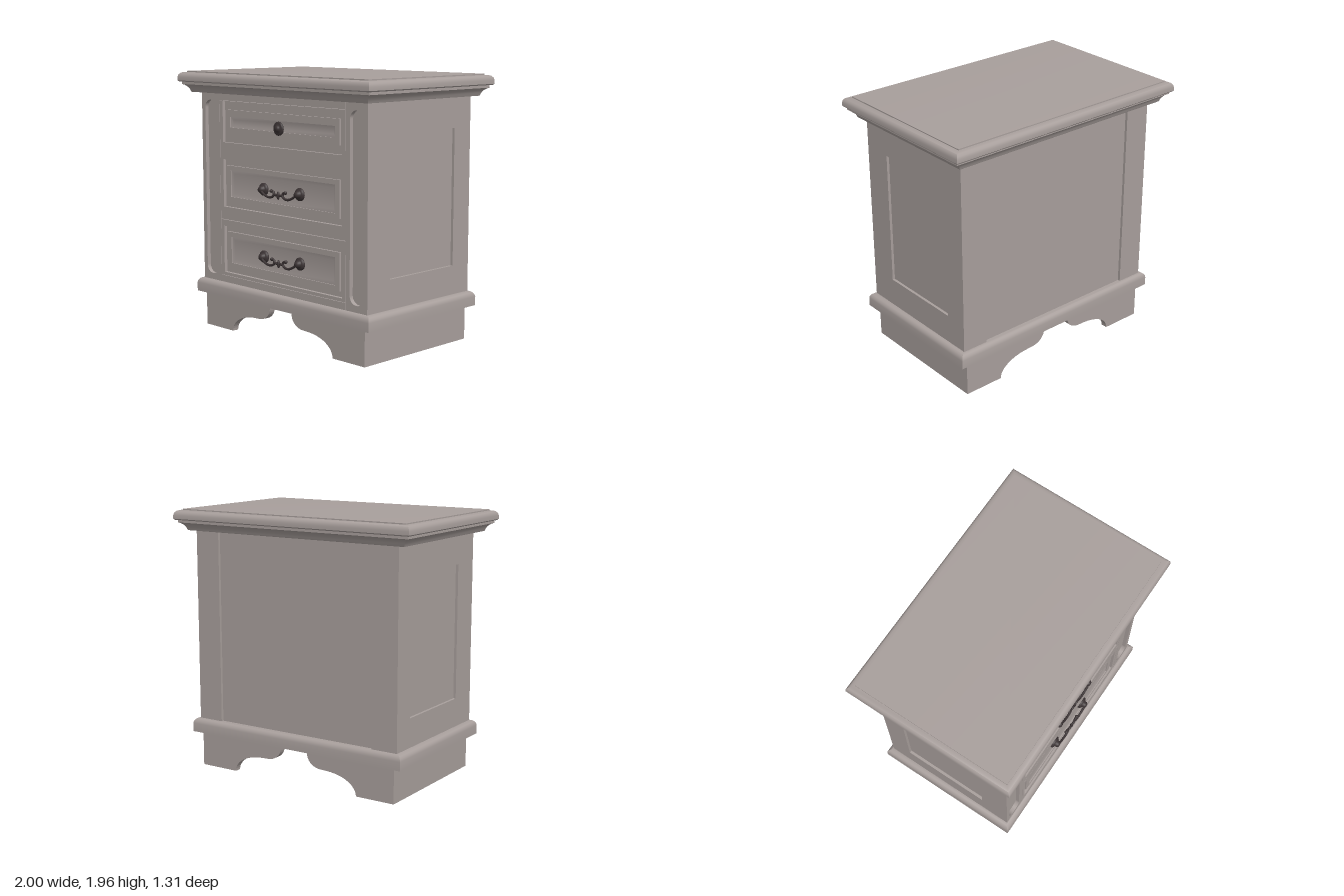
import * as THREE from 'three';
import { toCreasedNormals } from 'three/addons/utils/BufferGeometryUtils.js';

const wood = new THREE.MeshStandardMaterial({ color: 0xa89f9c });
wood.name = 'greyWood';
const iron = new THREE.MeshStandardMaterial({ color: 0x3c3435 });
iron.name = 'darkIron';

const CX = 0.012;            // cabinet centre
const BX = 0.868, BZ = 0.535; // cabinet half width and half depth
const Y0 = 0.365, Y1 = 1.8;   // cabinet bottom and top

function add(parent, name, geometry, material, x = 0, y = 0, z = 0) {
  const mesh = new THREE.Mesh(geometry, material);
  mesh.name = name;
  mesh.position.set(x, y, z);
  parent.add(mesh);
  return mesh;
}

function box(parent, name, x0, x1, y0, y1, z0, z1) {
  const g = new THREE.BoxGeometry(x1 - x0, y1 - y0, z1 - z0);
  return add(parent, name, g, wood, (x0 + x1) / 2, (y0 + y1) / 2, (z0 + z1) / 2);
}

// Mitred rectangular moulding: each profile entry is [half width, half depth, height]
function moulding(profile, bottomCap = true) {
  const pos = [];
  const signs = [[-1, 1], [1, 1], [1, -1], [-1, -1]];
  const corner = ([hx, hz, y], i) => [signs[i % 4][0] * hx, y, signs[i % 4][1] * hz];
  const quad = (a, b, c, d) => pos.push(...a, ...b, ...c, ...a, ...c, ...d);
  for (let k = 0; k < profile.length - 1; k++) {
    const p = profile[k], q = profile[k + 1];
    for (let i = 0; i < 4; i++) quad(corner(p, i), corner(p, i + 1), corner(q, i + 1), corner(q, i));
  }
  const top = profile[profile.length - 1];
  quad(...[0, 1, 2, 3].map(i => corner(top, i)));
  if (bottomCap) quad(...[3, 2, 1, 0].map(i => corner(profile[0], i)));
  const g = new THREE.BufferGeometry();
  g.setAttribute('position', new THREE.Float32BufferAttribute(pos, 3));
  return toCreasedNormals(g, 0.6);
}

function rect(path, x0, x1, y0, y1) {
  path.moveTo(x0, y0);
  path.lineTo(x1, y0);
  path.lineTo(x1, y1);
  path.lineTo(x0, y1);
  path.closePath();
  return path;
}

function roundedSlot(x0, x1, y0, y1, r) {
  const p = new THREE.Path();
  p.absarc(x1 - r, y0 + r, r, -Math.PI / 2, 0);
  p.absarc(x1 - r, y1 - r, r, 0, Math.PI / 2);
  p.absarc(x0 + r, y1 - r, r, Math.PI / 2, Math.PI);
  p.absarc(x0 + r, y0 + r, r, Math.PI, Math.PI * 1.5);
  p.closePath();
  return p;
}

function board(shape, depth) {
  return new THREE.ExtrudeGeometry(shape, { depth, bevelEnabled: false, curveSegments: 12 });
}

// Scroll-cut plinth board, open in the middle
function scrollBoard(s) {
  const shape = new THREE.Shape();
  shape.moveTo(s * 0.846, 0);
  shape.lineTo(s * 0.846, 0.26);
  shape.lineTo(s * 0.115, 0.26);
  shape.bezierCurveTo(s * 0.115, 0.19, s * 0.165, 0.145, s * 0.245, 0.145);
  shape.lineTo(s * 0.3, 0.143);
  shape.bezierCurveTo(s * 0.43, 0.135, s * 0.535, 0.08, s * 0.537, 0);
  shape.closePath();
  return board(shape, 0.05);
}

// Turned hardware pointing forwards
function turned(points) {
  return new THREE.LatheGeometry(points.map(p => new THREE.Vector2(...p)), 24).rotateX(Math.PI / 2);
}

function makePull() {
  const pull = new THREE.Group();
  pull.name = 'drawerPull';
  for (const s of [-1, 1]) {
    add(pull, 'pullRosette', turned([[0.046, 0], [0.046, 0.012], [0.036, 0.022], [0.026, 0.022],
      [0.024, 0.04], [0.015, 0.051], [0, 0.053]]), iron, s * 0.191);
    const path = [[0.191, 0, 0.036], [0.165, -0.02, 0.04], [0.125, -0.04, 0.04], [0.08, -0.044, 0.04],
      [0.048, -0.027, 0.038], [0.05, -0.004, 0.036], [0.075, 0.002, 0.036]];
    const curve = new THREE.CatmullRomCurve3(path.map(([x, y, z]) => new THREE.Vector3(s * x, y, z)));
    add(pull, 'pullScroll', new THREE.TubeGeometry(curve, 32, 0.009, 8), iron);
    add(pull, 'scrollTip', new THREE.SphereGeometry(0.013, 12, 8), iron, s * 0.075, 0.002, 0.036);
    const link = add(pull, 'pullLink', new THREE.SphereGeometry(0.012, 12, 8), iron, s * 0.027, -0.022, 0.038);
    link.scale.set(1.9, 0.8, 0.8);
  }
  const finial = add(pull, 'pullFinial', new THREE.SphereGeometry(0.012, 12, 10), iron, 0, -0.024, 0.038);
  finial.scale.set(1, 2.5, 1);
  return pull;
}

export function createModel() {
  const model = new THREE.Group();
  model.name = 'nightstand';
  const cabinet = new THREE.Group();
  cabinet.name = 'cabinet';
  cabinet.position.x = CX;
  model.add(cabinet);

  // Top slab, its raised field and the cove below
  add(model, 'topSlab', moulding([
    [0.975, 0.63, 1.868], [0.975, 0.63, 1.878], [0.992, 0.647, 1.878], [1, 0.655, 1.886], [1, 0.655, 1.912],
    [0.995, 0.65, 1.93], [0.983, 0.638, 1.943], [0.968, 0.623, 1.949], [0.948, 0.605, 1.95],
    [0.948, 0.605, 1.958]]), wood);
  add(model, 'coveMoulding', moulding([
    [0.922, 0.583, 1.8], [0.925, 0.586, 1.806], [0.932, 0.592, 1.823], [0.945, 0.603, 1.84],
    [0.963, 0.616, 1.853], [0.978, 0.628, 1.858], [0.978, 0.628, 1.87]]), wood);

  // Carcass with recessed back and side panels
  box(cabinet, 'carcass', -BX + 0.02, BX - 0.02, Y0, Y1, -BZ + 0.02, BZ - 0.03);
  for (const s of [-1, 1]) {
    const frame = rect(new THREE.Shape(), -BZ + 0.02, BZ - 0.03, Y0, Y1);
    if (s > 0) rect(frame, 0, 0, 0, 0);
    const side = rect(new THREE.Shape(), s > 0 ? -BZ + 0.03 : -BZ + 0.02, s > 0 ? BZ - 0.02 : BZ - 0.03, Y0, Y1);
    const z0 = -0.36, z1 = 0.31;
    side.holes.push(rect(new THREE.Path(), s > 0 ? -z1 : z0, s > 0 ? -z0 : z1, 0.58, 1.58));
    add(cabinet, 'sideFrame', board(side, 0.02).rotateY(s * Math.PI / 2), wood, s * (BX - 0.02));
    box(cabinet, 'backPost', Math.min(s * BX, s * 0.665), Math.max(s * BX, s * 0.665), Y0, Y1, -BZ, -BZ + 0.02);

    // Front posts with a round-ended sunk panel
    const post = rect(new THREE.Shape(), Math.min(s * BX, s * 0.662), Math.max(s * BX, s * 0.662), Y0, Y1);
    post.holes.push(roundedSlot(s * 0.766 - 0.064, s * 0.766 + 0.064, 0.415, 1.745, 0.06));
    add(cabinet, 'frontPost', board(post, 0.03), wood, 0, 0, BZ - 0.03);
  }

  // Front rails and drawer surrounds
  const W = 0.659;
  box(cabinet, 'topRail', -W, W, 1.747, Y1, BZ - 0.03, BZ);
  box(cabinet, 'bottomRail', -W, W, Y0, 0.418, BZ - 0.03, BZ);
  const drawers = [
    { y0: 1.435, y1: 1.741, insets: [0.062, 0.113, 0.136] },
    { y0: 0.948, y1: 1.307, insets: [0.045, 0.08, 0.105] },
    { y0: 0.445, y1: 0.8, insets: [0.04, 0.078, 0.105] },
  ];
  for (const [y0, y1, list] of [[0.852, 1.744, drawers.slice(0, 2)], [0.421, 0.848, drawers.slice(2)]]) {
    const surround = rect(new THREE.Shape(), -W, W, y0, y1);
    for (const d of list) surround.holes.push(rect(new THREE.Path(), -0.626, 0.626, d.y0, d.y1));
    add(cabinet, 'drawerSurround', board(surround, 0.03), wood, 0, 0, BZ - 0.03);
  }

  // Stepped drawer fronts
  for (const { y0, y1, insets: [a, b, c] } of drawers) {
    const h = (y1 - y0) / 2, w = 0.626;
    const front = moulding([
      [w, h, -0.002], [w, h, -0.025], [w - 0.032, h - a, -0.025], [w - 0.032, h - a, -0.008],
      [w - 0.075, h - b, -0.008], [w - 0.075, h - b, -0.016], [w - 0.1, h - c, -0.022]], false);
    add(cabinet, 'drawerFront', front.rotateX(Math.PI / 2), wood, 0, (y0 + y1) / 2, BZ);
  }

  // Knob and pulls
  add(cabinet, 'drawerKnob', turned([[0.02, 0], [0.02, 0.022], [0.05, 0.025], [0.05, 0.034], [0.04, 0.04],
    [0.026, 0.038], [0.022, 0.05], [0.012, 0.057], [0, 0.058]]), iron, 0, 1.575, BZ - 0.022);
  for (const y of [1.12, 0.62]) {
    const pull = makePull();
    pull.position.set(0, y, BZ - 0.022);
    cabinet.add(pull);
  }

  // Base moulding and open plinth
  add(cabinet, 'baseMoulding', moulding([
    [0.915, 0.571, 0.26], [0.915, 0.571, 0.325], [0.911, 0.567, 0.343], [0.9, 0.557, 0.357],
    [0.885, 0.545, 0.365], [0.87, 0.537, 0.367]]), wood);
  for (const s of [-1, 1]) {
    add(cabinet, 'frontPlinth', scrollBoard(s), wood, 0, 0, BZ - 0.05);
    add(cabinet, 'backPlinth', scrollBoard(s), wood, 0, 0, -BZ);
    box(cabinet, 'sidePlinth', Math.min(s * 0.846, s * 0.796), Math.max(s * 0.846, s * 0.796),
      0, 0.26, -BZ + 0.05, BZ - 0.05);
  }
  return model;
}
